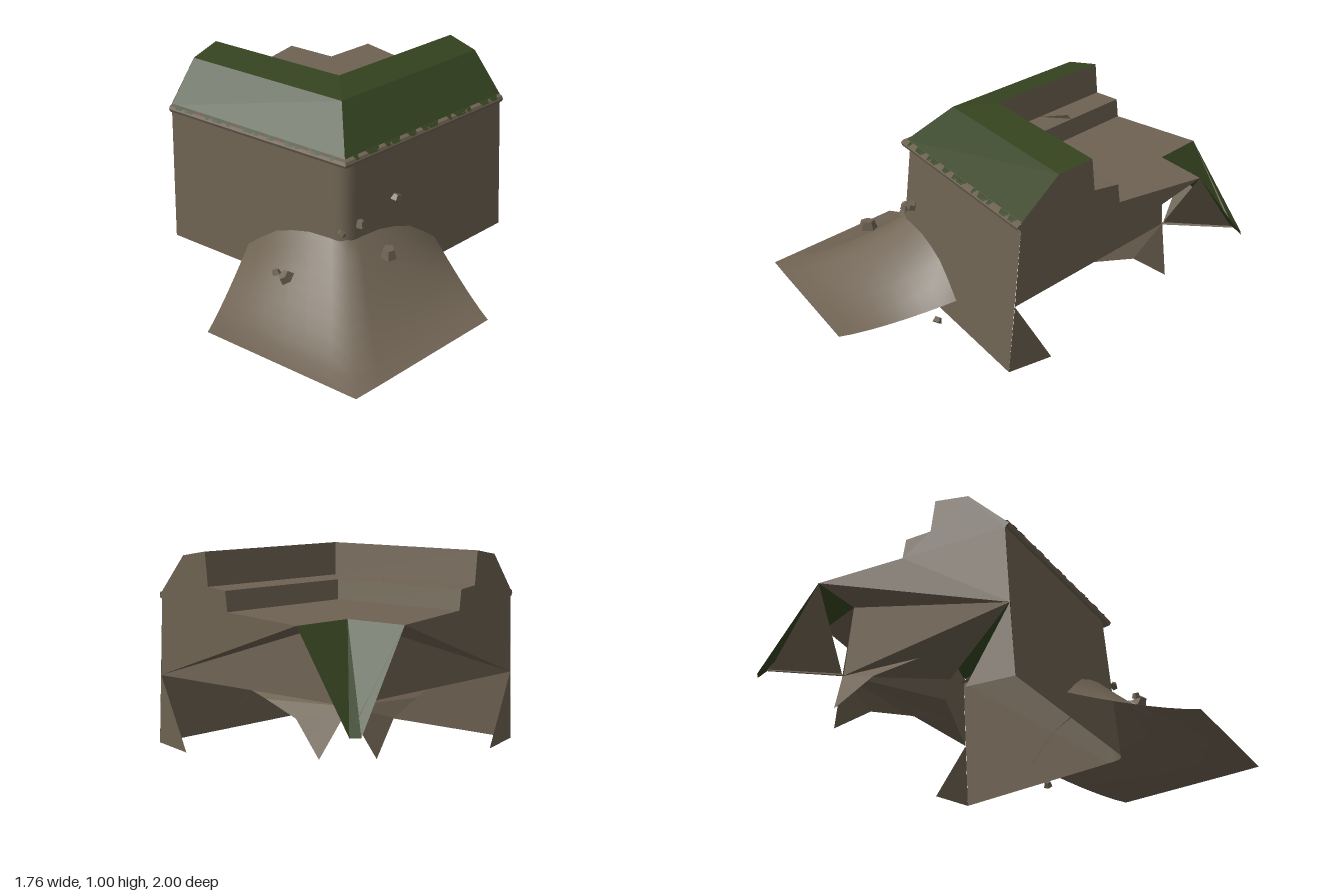
import * as THREE from 'three';
import { mergeVertices } from 'three/addons/utils/BufferGeometryUtils.js';

const mat = (name, color) =>
  Object.assign(new THREE.MeshStandardMaterial({ color, side: THREE.DoubleSide }), { name });

// Outer corner of the bank, and the axis about which both arms mirror
const C = [0.24, 0.45], U = [0.6088, 0.7933], END = -0.88;
const mirror = ([x, y, z]) => {
  const vx = x - C[0], vz = z - C[1], k = 2 * (vx * U[0] + vz * U[1]);
  return [k * U[0] - vx + C[0], y, k * U[1] - vz + C[1]];
};
// Cross-section point (inward depth d, height y) at the arm end and at the mitred corner
const atEnd = ([d, y]) => [END, y, C[1] - d];
const atCorner = ([d, y]) => [C[0] - d * U[0] / U[1], y, C[1] - d];

export function createModel() {
  const group = new THREE.Group();
  const earth = mat('earth brown', 0x6e6252);
  const grass = mat('grass green', 0x34421f);

  const add = (name, geometry, material) => {
    const mesh = new THREE.Mesh(geometry, material);
    mesh.name = name;
    group.add(mesh);
    return mesh;
  };
  // Faces from a list of triangles, flat or smooth
  const faces = (name, tris, material, smooth = false) => {
    let g = new THREE.BufferGeometry();
    g.setAttribute('position', new THREE.Float32BufferAttribute(tris.flat(2), 3));
    if (smooth) g = mergeVertices(g, 1e-4);
    g.computeVertexNormals();
    return add(name, g, material);
  };
  const quad = (a, b, c, d) => [[a, b, c], [a, c, d]];
  const bothSides = (name, tris, material) => {
    faces(name + 'A', tris, material);
    faces(name + 'B', tris.map(([a, b, c]) => [mirror(a), mirror(c), mirror(b)]), material);
  };
  // Plan line of one profile point: straight arms joined by a sharp or rounded corner
  const planLine = (p, round) => {
    const c = atCorner(p);
    if (!round) return [atEnd(p), c, mirror(atEnd(p))];
    const a = [c[0] - round, c[1], c[2]];
    const [v0, v1, v2] = [a, c, mirror(a)].map(v => new THREE.Vector3(...v));
    const arc = new THREE.QuadraticBezierCurve3(v0, v1, v2).getPoints(6).map(v => v.toArray());
    return [atEnd(p), [a[0] - 0.03, a[1], a[2]], ...arc, mirror([a[0] - 0.03, a[1], a[2]]), mirror(atEnd(p))];
  };
  const strip = (name, profile, material, round = 0) => {
    const tris = [];
    for (let i = 0; i < profile.length - 1; i++) {
      const low = planLine(profile[i], round), high = planLine(profile[i + 1], round);
      for (let j = 0; j < low.length - 1; j++) tris.push(...quad(low[j], low[j + 1], high[j + 1], high[j]));
    }
    faces(name, tris, material, round > 0);
  };

  // Bank: outer wall, rounded lip, grassy crest, inner step and floor
  strip('outerWall', [[0, 0.01], [0.055, 0.745]], earth, 0.07);
  strip('lip', [[0.085, 0.742], [0.04, 0.746], [0.034, 0.762], [0.042, 0.777], [0.062, 0.782]], earth);
  strip('grassCrest', [[0.055, 0.775], [0.25, 0.97], [0.43, 1]], grass);
  strip('innerStep', [[0.43, 1], [0.45, 0.84], [0.585, 0.835], [0.6, 0.74]], earth);
  strip('floor', [[0.6, 0.74], [1.09, 0.74]], earth);

  // Ragged grass edge hanging over the lip
  const tufts = [];
  for (let i = 0; i < 12; i++) {
    const x = -0.82 + i * 0.085 + Math.sin(i * 4.1) * 0.02, w = 0.03 + 0.015 * Math.sin(i * 2.7);
    tufts.push(...quad([x - w, 0.786, 0.394], [x - w * 0.5, 0.771, 0.416], [x + w * 0.7, 0.772, 0.416], [x + w, 0.786, 0.394]));
  }
  bothSides('grassFringe', tufts, grass);

  // End faces of both arms
  const section = [[0.028, 0.36], [0.055, 0.742], [0.034, 0.762], [0.055, 0.78], [0.25, 0.97], [0.43, 1],
    [0.45, 0.84], [0.585, 0.835], [0.6, 0.74], [1.09, 0.74]];
  const ends = THREE.ShapeUtils
    .triangulateShape(section.map(([x, y]) => new THREE.Vector2(x, y)), [])
    .map(t => t.map(i => atEnd(section[i])));
  bothSides('endFace', ends, earth);
  bothSides('endFoot', [[atEnd([0, 0.01]), atEnd([0.028, 0.36]), atEnd([0.24, 0.01])]], earth);

  // Grass slope dropping to a point behind the floor
  const Q = atEnd([1.09, 0.74]), P = atCorner([1.09, 0.74]), R = mirror(Q);
  const T2 = [END, 0.33, -0.97], T1 = mirror(T2);
  faces('grassSlope', [[Q, P, T2], [P, T1, T2], [P, R, T1]], grass);

  // Underside: sheets from each arm end to a ridge on the axis, and below the slope
  const E = mirror(atEnd([0.028, 0.36]));
  const X = [-0.62, 0.36, -0.66], Y = [-0.2, 0.32, -0.33], N = [-0.84, 0.36, -0.95];
  bothSides('underside', [[E, R, P], ...quad(E, P, X, Y), [R, N, X]], earth);

  // Curved earth flares hanging below, ending in points
  const c1 = [0.14, 0.34, -0.48], c2 = [-0.12, 0.315, -0.6], c3 = [-0.35, 0.27, -0.68];
  const c4 = [-0.44, 0.2, -0.72], tip = [-0.53, 0.13, -0.76];
  bothSides('flare', [[c1, Y, X], [c1, X, c2], [c2, X, c3], [c3, X, c4], [c4, X, tip]], earth);

  // Earth mound spreading from the foot of the corner
  const innerHalf = [[-0.38, 0.13, 0.44], [-0.29, 0.205, 0.435], [-0.2, 0.27, 0.43], [-0.1, 0.31, 0.425],
    [0, 0.338, 0.42], [0.12, 0.358, 0.405], [0.2, 0.363, 0.388]];
  const outerHalf = innerHalf.map((_, i) => [-0.19 + 0.85 * i / 6, 0.005, 1]);
  const whole = half => [...half, ...half.slice(0, -1).reverse().map(mirror)];
  const inner = whole(innerHalf), outer = whole(outerHalf);
  const steps = 8, rows = [], mound = [];
  for (let j = 0; j <= steps; j++) {
    const t = j / steps;
    rows.push(inner.map((a, i) => {
      const b = outer[i];
      return [a[0] + (b[0] - a[0]) * t, b[1] + (a[1] - b[1]) * (1 - t) ** 1.45, a[2] + (b[2] - a[2]) * t];
    }));
  }
  for (let j = 0; j < steps; j++)
    for (let i = 0; i < inner.length - 1; i++)
      mound.push(...quad(rows[j][i], rows[j + 1][i], rows[j + 1][i + 1], rows[j][i + 1]));
  faces('mound', mound, earth, true);

  // Steep slivers of broken earth on the inner step
  faces('cracks', [
    [[-0.48, 0.842, -0.14], [-0.39, 0.842, -0.005], [-0.465, 0.865, -0.13]],
    [[-0.15, 0.842, -0.34], [-0.045, 0.842, -0.215], [-0.045, 0.875, -0.245]],
  ], earth);

  // Loose blocky stones: x, y, z, radius
  [[-0.045, 0.2, 0.64, 0.026], [0.01, 0.195, 0.64, 0.042], [0.255, 0.43, 0.35, 0.032],
    [0.2, 0.395, 0.425, 0.024], [0.36, 0.535, 0.19, 0.032], [0.46, 0.38, 0.42, 0.05],
    [0.475, 0.035, -0.1, 0.03]].forEach(([x, y, z, r], i) => {
    const g = new THREE.CylinderGeometry(r * 0.7, r, r * 0.9, 5).toNonIndexed();
    g.computeVertexNormals();
    g.scale(1, 1, 0.8);
    g.rotateZ(0.35 + Math.sin(i * 2.3) * 0.4);
    g.rotateY(i * 1.1);
    add('stone' + (i + 1), g, earth).position.set(x, y, z);
  });

  return group;
}
